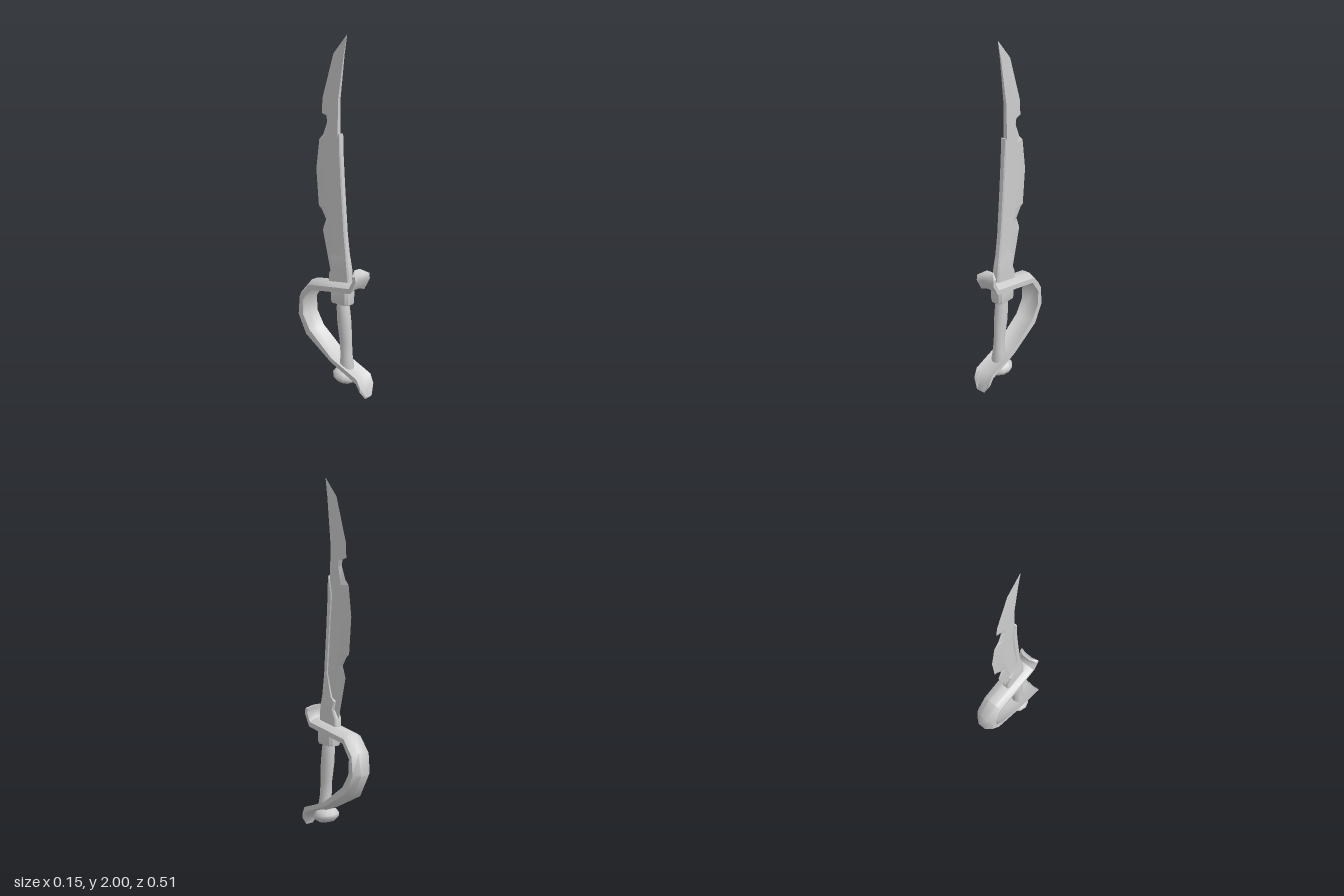
import * as THREE from 'three';
import { mergeVertices, toCreasedNormals } from 'three/addons/utils/BufferGeometryUtils.js';

const material = new THREE.MeshStandardMaterial({ color: 0xcccccc, side: THREE.DoubleSide });

// Skins a list of equal-length rings of Vector3 and caps both ends.
function loft(name, rings, crease = 0.7) {
  const n = rings[0].length;
  const tris = [];
  for (let r = 0; r < rings.length - 1; r++) {
    for (let i = 0; i < n; i++) {
      const j = (i + 1) % n;
      const a = rings[r][i], b = rings[r][j], c = rings[r + 1][j], d = rings[r + 1][i];
      tris.push([a, b, c], [a, c, d]);
    }
  }
  const cap = (ring, flip) => {
    const mid = new THREE.Vector3();
    ring.forEach(p => mid.addScaledVector(p, 1 / n));
    ring.forEach((p, i) => {
      const q = ring[(i + 1) % n];
      tris.push(flip ? [mid, q, p] : [mid, p, q]);
    });
  };
  cap(rings[0], true);
  cap(rings[rings.length - 1], false);
  // Turn the faces outward whichever way the rings run
  let volume = 0;
  for (const [a, b, c] of tris) volume += a.dot(b.clone().cross(c));
  const points = tris.flatMap(t => (volume < 0 ? [t[0], t[2], t[1]] : t));
  const geometry = new THREE.BufferGeometry().setFromPoints(points);
  const mesh = new THREE.Mesh(toCreasedNormals(geometry, crease), material);
  mesh.name = name;
  return mesh;
}

// Level rectangle with cut corners, from front z to back z.
function chamferedRing(y, front, back, half) {
  const c = Math.min(half * 0.35, (front - back) * 0.3);
  return [
    [half - c, front], [half, front - c], [half, back + c], [half - c, back],
    [c - half, back], [-half, back + c], [-half, front - c], [c - half, front],
  ].map(([x, z]) => new THREE.Vector3(x, y, z));
}

function ellipseRing(y, z, rx, rz, sides = 12) {
  return Array.from({ length: sides }, (_, i) => {
    const a = (i / sides) * Math.PI * 2;
    return new THREE.Vector3(Math.cos(a) * rx, y, z + Math.sin(a) * rz);
  });
}

function createBlade() {
  // y, spine z, bevel z, cutting edge z, half thickness
  const rows = [
    [0.64, 0.08, 0.02, -0.02, 0.013],
    [0.68, 0.08, 0.02, -0.03, 0.013],
    [0.92, 0.06, -0.02, -0.09, 0.013],
    [0.985, 0.055, -0.025, -0.065, 0.013],
    [1.04, 0.05, -0.04, -0.1, 0.013],
    [1.055, 0.05, -0.045, -0.12, 0.013],
    [1.26, 0.04, -0.065, -0.138, 0.013],
    [1.43, 0.032, -0.06, -0.115, 0.013],
    [1.46, 0.031, -0.055, -0.085, 0.013],
    [1.53, 0.031, -0.04, -0.056, 0.012],
    [1.565, 0.031, -0.04, -0.062, 0.011],
    [1.575, 0.031, -0.04, -0.095, 0.011],
    [1.66, 0.032, -0.035, -0.09, 0.01],
    [1.9, 0.066, 0.03, -0.01, 0.004],
    [2, 0.086, 0.085, 0.083, 0.0005],
  ];
  return loft('blade', rows.map(([y, f, m, b, t]) => [
    [t, f], [t, m], [0, b], [-t, m], [-t, f],
  ].map(([x, z]) => new THREE.Vector3(x, y, z))), 0.15);
}

function createSpineSleeve() {
  // y, front z, back z, half width
  const rows = [
    [0.6, 0.12, -0.03, 0.024],
    [0.68, 0.12, -0.03, 0.024],
    [0.73, 0.115, -0.004, 0.024],
    [0.78, 0.106, -0.016, 0.021],
    [0.8, 0.102, 0.012, 0.019],
    [0.93, 0.085, 0.05, 0.018],
    [1.2, 0.064, 0.026, 0.018],
    [1.37, 0.053, 0.012, 0.018],
    [1.475, 0.047, 0.037, 0.018],
  ];
  return loft('spineSleeve', rows.map(r => chamferedRing(...r)));
}

function createCollar() {
  const rows = [
    [0.52, 0.118, -0.003, 0.036],
    [0.535, 0.122, -0.006, 0.04],
    [0.6, 0.122, -0.008, 0.04],
    [0.63, 0.12, -0.012, 0.034],
  ];
  return loft('collar', rows.map(r => chamferedRing(...r)));
}

function createGrip() {
  // y, centre z, x radius, z radius
  const rows = [
    [0.1, 0.092, 0.036, 0.04],
    [0.15, 0.092, 0.042, 0.043],
    [0.21, 0.09, 0.034, 0.036],
    [0.3, 0.083, 0.031, 0.038],
    [0.4, 0.073, 0.037, 0.043],
    [0.48, 0.065, 0.037, 0.04],
    [0.54, 0.06, 0.034, 0.034],
  ];
  return loft('grip', rows.map(r => ellipseRing(...r)), 1.2);
}

function createGuard() {
  // outer z, outer y, inner z, inner y, half width
  const rows = [
    [0.16, 0.735, 0.17, 0.733, 0.026],
    [0.162, 0.71, 0.2, 0.712, 0.061],
    [0.165, 0.69, 0.205, 0.68, 0.061],
    [0.15, 0.66, 0.165, 0.61, 0.061],
    [-0.153, 0.62, -0.14, 0.57, 0.061],
    [-0.235, 0.53, -0.195, 0.495, 0.061],
    [-0.257, 0.405, -0.19, 0.405, 0.061],
    [-0.19, 0.27, -0.14, 0.325, 0.061],
    [0.015, 0.155, 0.03, 0.195, 0.061],
    [0.208, 0.07, 0.215, 0.12, 0.061],
    [0.235, 0.03, 0.24, 0.07, 0.058],
    [0.247, 0, 0.255, 0.012, 0.026],
  ];
  return loft('handGuard', rows.map(([oz, oy, iz, iy, w]) => {
    const c = Math.min(0.025, w * 0.9);
    // x and depth through the band: flat outside, shallow trough inside
    return [[-c, 0], [c, 0], [w, 0.45], [w, 1], [c, 0.75], [-c, 0.75], [-w, 1], [-w, 0.45]]
      .map(([x, k]) => new THREE.Vector3(x, oy + (iy - oy) * k, oz + (iz - oz) * k));
  }), 0.8);
}

function createPommel() {
  const profile = [[0, -0.042], [0.045, -0.038], [0.07, -0.018], [0.075, 0.002], [0.06, 0.026], [0.03, 0.04], [0, 0.042]]
    .map(([r, y]) => new THREE.Vector2(r, y));
  const geometry = mergeVertices(new THREE.LatheGeometry(profile, 12));
  const pommel = new THREE.Mesh(geometry, material);
  pommel.name = 'pommel';
  pommel.position.set(0, 0.098, 0.083);
  pommel.rotation.x = 0.2;
  return pommel;
}

export function createModel() {
  const sword = new THREE.Group();
  sword.name = 'sword';
  sword.add(createBlade(), createSpineSleeve(), createCollar(), createGrip(), createGuard(), createPommel());
  return sword;
}
